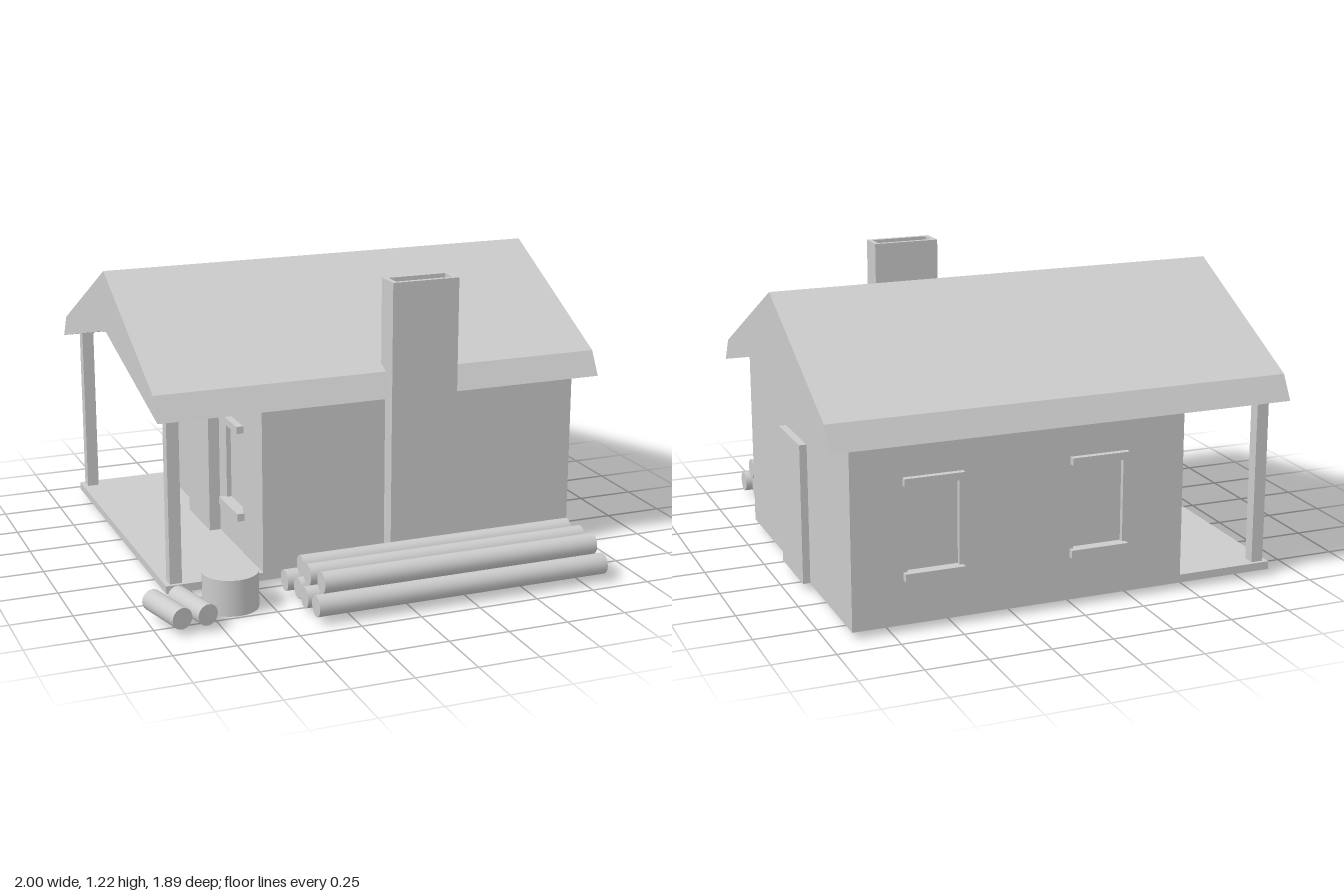
import * as THREE from 'three';

const grey = new THREE.MeshStandardMaterial({ color: 0xcccccc });

export function createModel() {
  const model = new THREE.Group();
  model.name = 'cabin';

  const add = (name, geometry, parent = model) => {
    const mesh = new THREE.Mesh(geometry, grey);
    mesh.name = name;
    parent.add(mesh);
    return mesh;
  };
  // Box given by its min and max on each axis
  const box = (name, [x0, x1], [y0, y1], [z0, z1], parent) =>
    add(name, new THREE.BoxGeometry(x1 - x0, y1 - y0, z1 - z0)
      .translate((x0 + x1) / 2, (y0 + y1) / 2, (z0 + z1) / 2), parent);
  const shapeOf = (points, holes = []) => {
    const shape = new THREE.Shape(points.map(p => new THREE.Vector2(...p)));
    shape.holes = holes.map(h => new THREE.Path(h.map(p => new THREE.Vector2(...p))));
    return shape;
  };
  const rect = (a0, a1, b0, b1) => [[a0, b0], [a1, b0], [a1, b1], [a0, b1]];
  const extrude = (shape, depth) => new THREE.ExtrudeGeometry(shape, { depth, bevelEnabled: false });
  // Profile in (z, y), extruded along x
  const extrudeX = (shape, x0, x1) =>
    extrude(shape, x1 - x0).rotateY(-Math.PI / 2).translate(x1, 0, 0);

  // Floor slab under house and porch
  box('floor', [-0.87, 0.905], [0.027, 0.06], [-0.89, 0.485]);

  // House walls: solid core plus thin outer walls with window openings
  const winY = [0.22, 0.595], winHalf = 0.105;
  const opening = c => rect(c - winHalf, c + winHalf, ...winY);
  const gable = (back, front) =>
    [[back, 0.05], [front, 0.05], [front, 0.775], [-0.2, 0.95], [back, 0.775]];
  const backWindows = [0.58, -0.1], porchWindow = 0.14;
  add('walls', extrudeX(shapeOf(gable(-0.87, 0.485)), -0.445, 0.905));
  add('porchWall', extrudeX(shapeOf(gable(-0.89, 0.485), [opening(porchWindow)]), -0.465, -0.445));
  add('backWall', extrude(shapeOf(rect(-0.465, 0.905, 0.05, 0.775), backWindows.map(opening)), 0.02)
    .translate(0, 0, -0.89));

  // Window sills and lintels
  for (const [part, y] of [['windowSill', [0.205, 0.237]], ['windowLintel', [0.58, 0.61]]]) {
    for (const x of backWindows) box(part, [x - 0.12, x + 0.12], y, [-0.915, -0.87]);
    box(part, [-0.495, -0.445], y, [porchWindow - 0.12, porchWindow + 0.12]);
  }

  // Doors at both gable ends
  box('sideDoor', [0.89, 0.935], [0.03, 0.607], [-0.35, -0.06]);
  box('porchDoor', [-0.513, -0.45], [0.03, 0.607], [-0.35, -0.06]);

  // Porch posts
  for (const z of [-0.85, 0.445])
    box('porchPost', [-0.85, -0.8], [0.05, 0.785], [z - 0.025, z + 0.025]);

  // Roof with folded eaves and a shallow V underside
  add('roof', extrudeX(shapeOf([
    [-0.945, 0.748], [-0.2, 0.94], [0.545, 0.748],
    [0.49, 0.845], [-0.2, 1.192], [-0.89, 0.845],
  ]), -0.905, 0.995));

  // Chimney with an open flue
  const chimney = new THREE.Group();
  chimney.name = 'chimney';
  model.add(chimney);
  box('chimneyStack', [0.06, 0.345], [0.027, 1], [0.442, 0.555], chimney);
  const flue = shapeOf(rect(0.06, 0.345, -0.555, -0.442), [rect(0.08, 0.325, -0.535, -0.462)]);
  add('chimneyTop', extrude(flue, 0.22).rotateX(-Math.PI / 2).translate(0, 1, 0), chimney);

  // Barrel by the porch
  add('barrel', new THREE.CylinderGeometry(0.112, 0.112, 0.148, 32)).position.set(-0.65, 0.074, 0.625);

  // Stacked logs: [start x, end x, y, z]
  const logs = [
    [-0.42, 0.86, 0.068, 0.61], [-0.4, 0.84, 0.068, 0.707],
    [-0.41, 0.82, 0.068, 0.806], [-0.4, 0.845, 0.068, 0.905],
    [-0.37, 0.81, 0.14, 0.66], [-0.38, 0.82, 0.14, 0.758], [-0.36, 0.82, 0.14, 0.857],
  ];
  const woodpile = new THREE.Group();
  woodpile.name = 'woodpile';
  model.add(woodpile);
  for (const [x0, x1, y, z] of logs)
    add('log', new THREE.CylinderGeometry(0.043, 0.043, x1 - x0, 20).rotateZ(Math.PI / 2), woodpile)
      .position.set((x0 + x1) / 2, y, z);

  // Two short logs lying at an angle
  for (const x of [-0.938, -0.837]) {
    const log = add('shortLog', new THREE.CylinderGeometry(0.043, 0.043, 0.23, 20).rotateX(Math.PI / 2));
    log.position.set(x, 0.068, 0.725);
    log.rotation.y = 0.24;
  }

  return model;
}
